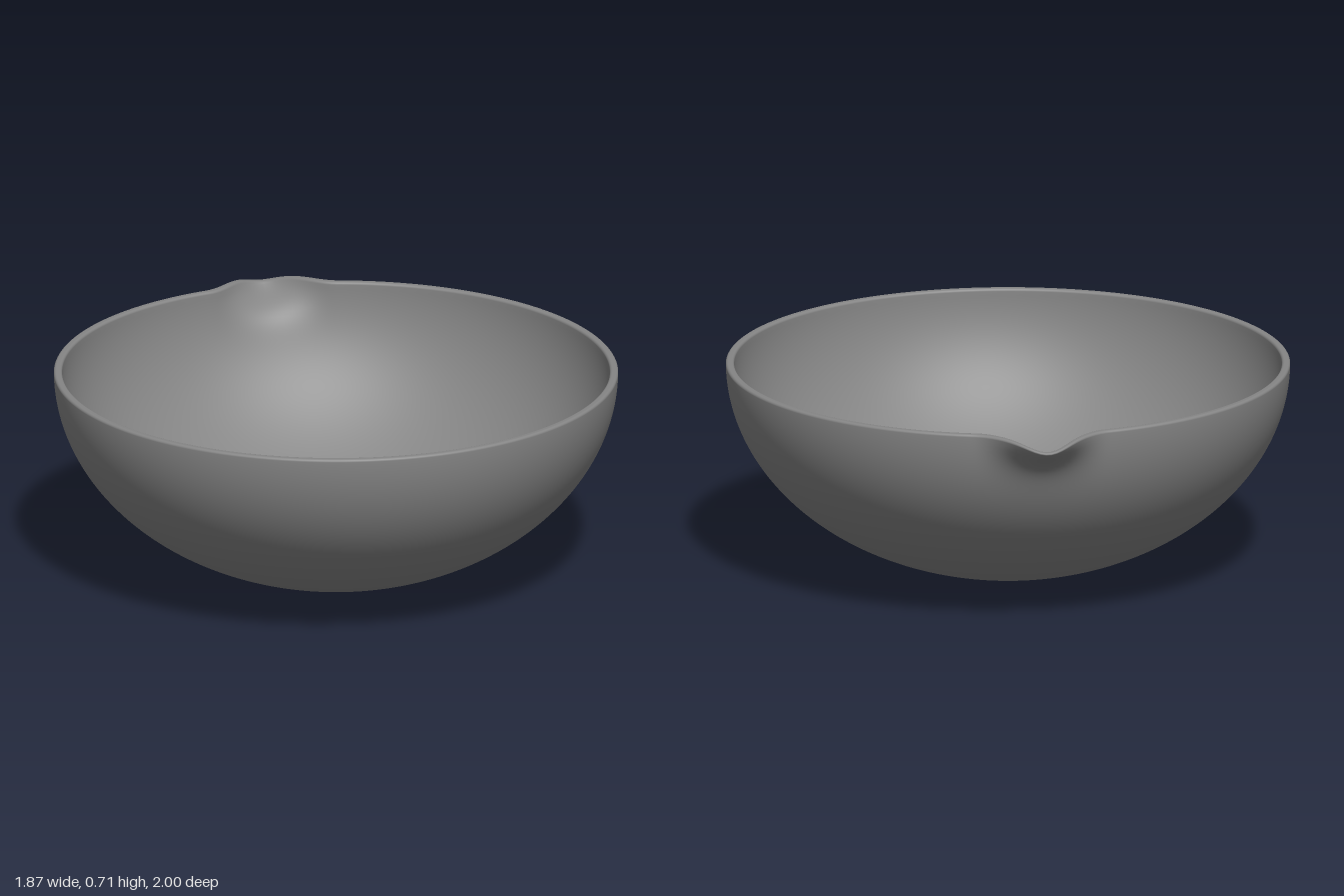
import * as THREE from 'three';
import { mergeVertices } from 'three/addons/utils/BufferGeometryUtils.js';

const RADIUS = 0.937, HEIGHT = 0.712, WALL = 0.028, CENTRE_Z = 0.063;

// Closed wall section: outer ellipse upwards, rounded lip, inner ellipse downwards
function wallProfile() {
  const points = [], steps = 72, lip = 0.009;
  const ellipse = (rx, ry, t) => new THREE.Vector2(
    rx * Math.sin(t), HEIGHT - Math.max(lip, ry * Math.cos(t)));
  const end = (ry) => Math.acos(lip / ry);
  const innerR = RADIUS - WALL, innerH = HEIGHT - WALL;
  for (let i = 0; i <= steps; i++) points.push(ellipse(RADIUS, HEIGHT, end(HEIGHT) * i / steps));
  for (let i = 1; i <= 5; i++) {
    const a = i / 5 * Math.PI / 2;
    points.push(new THREE.Vector2(RADIUS - lip + lip * Math.cos(a), HEIGHT - lip + lip * Math.sin(a)));
  }
  for (let i = 0; i < 5; i++) {
    const a = i / 5 * Math.PI / 2;
    points.push(new THREE.Vector2(innerR + lip - lip * Math.sin(a), HEIGHT - lip + lip * Math.cos(a)));
  }
  for (let i = steps; i >= 0; i--) points.push(ellipse(innerR, innerH, end(innerH) * i / steps));
  points[0].x = points[points.length - 1].x = 0;
  return points;
}

// Pull the back of the rim outwards and slightly down into a pouring lip
function shapeSpout(geometry) {
  const p = geometry.attributes.position;
  for (let i = 0; i < p.count; i++) {
    const x = p.getX(i) - 0.012, y = p.getY(i), z = p.getZ(i);
    const down = Math.max(0, HEIGHT - y);
    // Inner surface gets a narrower, shallower channel, so the wall keeps its thickness
    const inset = 1 - Math.hypot(p.getX(i) / RADIUS, z / RADIUS, down / HEIGHT);
    const halfWidth = 0.23 - 0.6 * inset;
    if (z > 0 || Math.abs(x) > halfWidth) continue;
    const across = Math.cos(Math.PI / 2 * x / halfWidth) ** 2;
    const depth = Math.exp(-((down / (0.08 - 0.3 * inset)) ** 1.6));
    p.setZ(i, z - 0.128 * across * depth);
    p.setY(i, y - 0.03 * across ** 3 * depth);
  }
}

export function createModel() {
  const model = new THREE.Group();
  model.name = 'pouringBowl';

  let geometry = new THREE.LatheGeometry(wallProfile(), 320);
  shapeSpout(geometry);
  // Weld the seam so the shading stays smooth all round
  geometry.deleteAttribute('uv');
  geometry.deleteAttribute('normal');
  geometry = mergeVertices(geometry, 1e-5);
  geometry.computeVertexNormals();

  const bowl = new THREE.Mesh(geometry, new THREE.MeshStandardMaterial({ color: 0x858585 }));
  bowl.name = 'bowlWithSpout';
  bowl.position.z = CENTRE_Z;
  model.add(bowl);
  return model;
}
